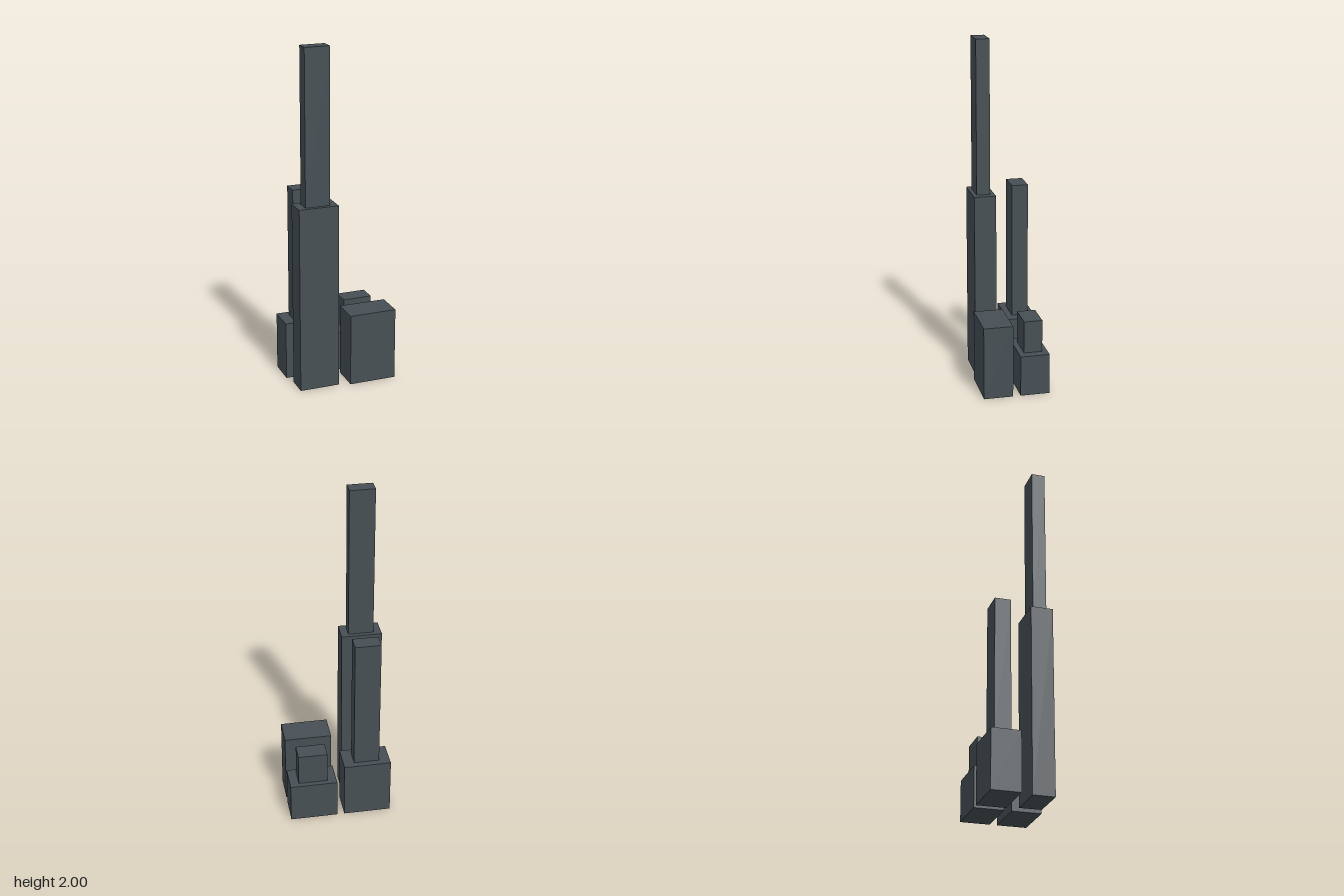
import * as THREE from 'three';

export function createModel() {
  const model = new THREE.Group();
  model.name = 'towerCluster';
  const slate = new THREE.MeshStandardMaterial({ color: 0x464f54 });
  slate.name = 'slate';

  // Block given by its extents on each axis
  function block(parent, name, [x0, x1], [y0, y1], [z0, z1]) {
    const geometry = new THREE.BoxGeometry(x1 - x0, y1 - y0, z1 - z0);
    const mesh = new THREE.Mesh(geometry, slate);
    mesh.name = name;
    mesh.position.set((x0 + x1) / 2, (y0 + y1) / 2, (z0 + z1) / 2);
    parent.add(mesh);
  }

  // Each building: a base and, where present, a narrower tower on top
  const buildings = [
    { name: 'frontRightTower',
      base: [[-0.28, -0.045], [0, 1.1], [0.042, 0.17]],
      tower: [[-0.235, -0.089], [1.1, 2], [0.068, 0.147]] },
    { name: 'backRightTower',
      base: [[-0.301, -0.022], [0, 0.345], [-0.193, -0.023]],
      tower: [[-0.237, -0.086], [0.345, 1.145], [-0.156, -0.061]] },
    { name: 'backLeftTower',
      base: [[0.021, 0.3], [0, 0.24], [-0.193, -0.023]],
      tower: [[0.075, 0.247], [0.24, 0.43], [-0.162, -0.055]] },
    { name: 'frontLeftBlock',
      base: [[0.021, 0.3], [0, 0.43], [0.021, 0.192]] },
  ];

  for (const { name, base, tower } of buildings) {
    const building = new THREE.Group();
    building.name = name;
    block(building, 'base', ...base);
    if (tower) block(building, 'upperTower', ...tower);
    model.add(building);
  }
  return model;
}
